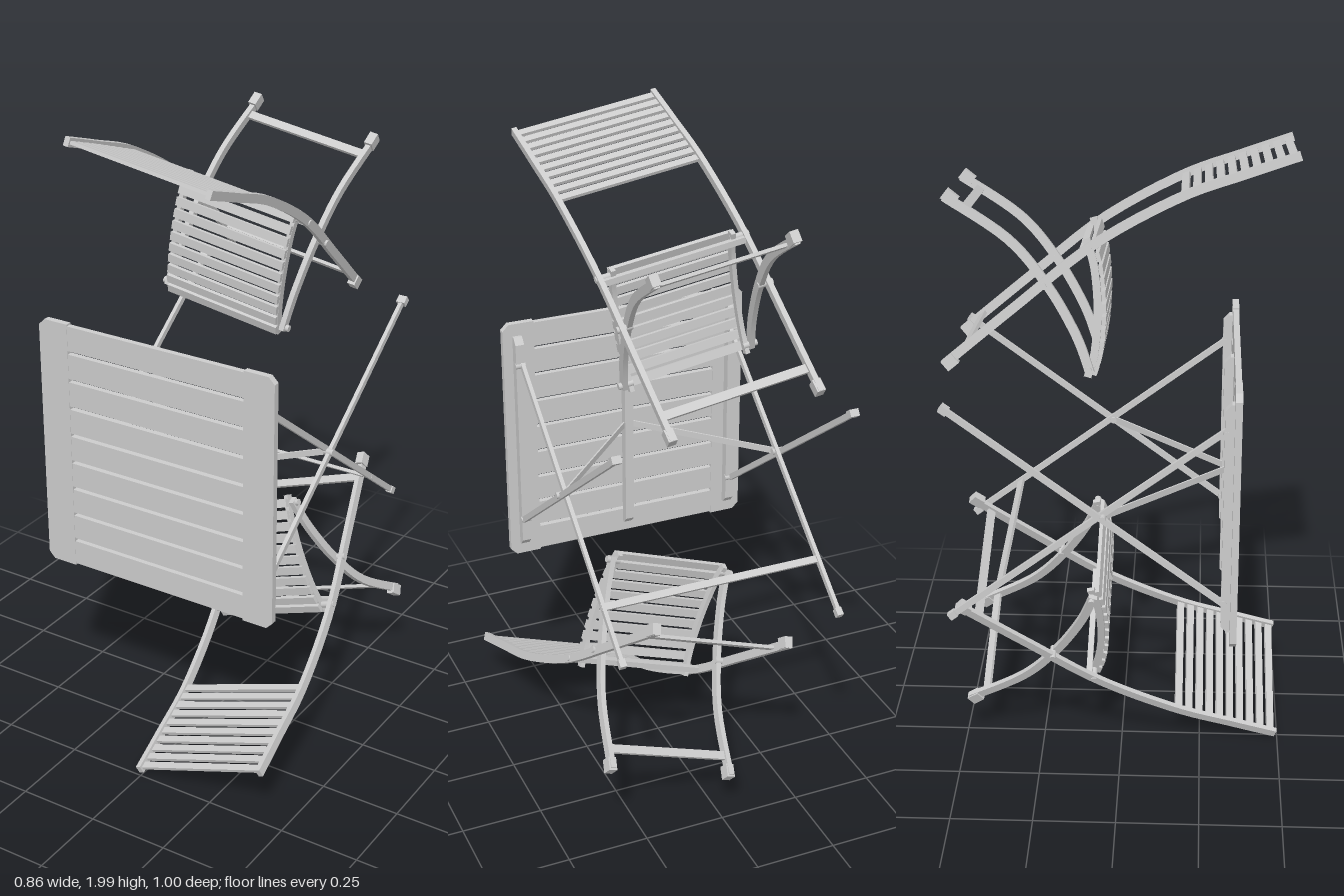
import * as THREE from 'three';
import { toCreasedNormals } from 'three/addons/utils/BufferGeometryUtils.js';

const material = new THREE.MeshStandardMaterial({ color: 0xcccccc, side: THREE.DoubleSide });

// Furniture axes: x across, y depth, z height.
function add(group, name, geometry) {
  const mesh = new THREE.Mesh(geometry, material);
  mesh.name = name;
  group.add(mesh);
  return mesh;
}

function box(group, name, size, pos, tilt = 0) {
  const mesh = add(group, name, new THREE.BoxGeometry(...size));
  mesh.position.set(...pos);
  mesh.rotation.x = tilt;
  return mesh;
}

function pin(group, name, x, y, z, length, radius = 0.01) {
  const mesh = add(group, name, new THREE.CylinderGeometry(radius, radius, length, 12));
  mesh.rotation.z = Math.PI / 2;
  mesh.position.set(x, y, z);
}

const curveOf = (pts) => new THREE.SplineCurve(pts.map((p) => new THREE.Vector2(...p)));

// A bent lath of constant width, following [y, z] points and centred on x
function lath(group, name, pts, width, thickness, x) {
  const curve = curveOf(pts);
  const n = pts.length > 2 ? 24 : 1;
  const a = [], b = [];
  for (let i = 0; i <= n; i++) {
    const p = curve.getPoint(i / n), t = curve.getTangent(i / n);
    const off = new THREE.Vector2(-t.y, t.x).multiplyScalar(width / 2);
    a.push(p.clone().add(off));
    b.unshift(p.clone().sub(off));
  }
  let g = new THREE.ExtrudeGeometry(new THREE.Shape([...a, ...b]), { depth: thickness, bevelEnabled: false });
  g.translate(0, 0, -thickness / 2);
  g.applyMatrix4(new THREE.Matrix4().makeBasis(
    new THREE.Vector3(0, 1, 0), new THREE.Vector3(0, 0, 1), new THREE.Vector3(1, 0, 0)));
  g = toCreasedNormals(g, 0.5);
  add(group, name, g).position.x = x;
}

// Evenly spaced cross slats lying along a [y, z] curve
function slats(group, name, pts, count, length, width, thickness) {
  const curve = curveOf(pts);
  for (let i = 0; i < count; i++) {
    const s = (i + 0.5) / count, p = curve.getPointAt(s), t = curve.getTangentAt(s);
    box(group, name, [length, width, thickness], [0, p.x, p.y], Math.atan2(t.y, t.x));
  }
}

function createChair() {
  const chair = new THREE.Group();
  const rail = [[-0.595, -0.49], [-0.42, -0.28], [-0.25, -0.07], [-0.118, 0.165], [-0.05, 0.35], [0, 0.494]];
  const leg = [[-0.125, -0.485], [-0.24, -0.31], [-0.37, -0.2], [-0.51, -0.12], [-0.62, -0.08]];
  const seat = [[-0.635, -0.07], [-0.56, -0.05], [-0.44, -0.042], [-0.32, -0.052], [-0.24, -0.075]];
  const back = [[-0.118, 0.165], [-0.05, 0.35], [0, 0.494]];

  for (const side of [-1, 1]) {
    lath(chair, 'backRail', rail, 0.026, 0.016, side * 0.226);
    lath(chair, 'frontLeg', leg, 0.026, 0.016, side * 0.204);
    lath(chair, 'seatSideRail', seat.map(([y, z]) => [y, z - 0.018]), 0.022, 0.014, side * 0.186);
    // Rubber feet
    lath(chair, 'railFoot', [[-0.6, -0.488], [-0.575, -0.458]], 0.034, 0.026, side * 0.226);
    lath(chair, 'legFoot', [[-0.115, -0.484], [-0.14, -0.452]], 0.034, 0.026, side * 0.204);
    // Pivots
    pin(chair, 'crossPivot', side * 0.217, -0.367, -0.21, 0.048);
    pin(chair, 'seatFrontPivot', side * 0.2, -0.61, -0.085, 0.045);
    pin(chair, 'seatBackPivot', side * 0.208, -0.262, -0.085, 0.06);
  }
  slats(chair, 'seatSlat', seat, 11, 0.385, 0.026, 0.012);
  slats(chair, 'backrestSlat', back, 10, 0.44, 0.023, 0.01);
  // Cross bars
  box(chair, 'railCrossBar', [0.44, 0.01, 0.026], [0, -0.545, -0.43], -0.7);
  box(chair, 'legCrossBar', [0.4, 0.01, 0.026], [0, -0.16, -0.43], 0.6);
  box(chair, 'seatCrossBar', [0.44, 0.018, 0.018], [0, -0.27, -0.1]);
  return chair;
}

function createTable() {
  const table = new THREE.Group();
  // Top: two end boards with clipped corners, slats between
  for (const side of [-1, 1]) {
    const s = new THREE.Shape([[0.3, -0.4], [0.38, -0.4], [0.4, -0.38], [0.4, 0.38], [0.38, 0.4], [0.3, 0.4]]
      .map(([x, y]) => new THREE.Vector2(x, y)));
    const board = add(table, 'endBoard', new THREE.ExtrudeGeometry(s, { depth: 0.02, bevelEnabled: false }));
    board.position.z = 0.329;
    if (side < 0) { board.rotation.z = Math.PI; }
  }
  const count = 9, pitch = 0.8 / count;
  for (let i = 0; i < count; i++) {
    box(table, 'topSlat', [0.6, pitch - 0.011, 0.018], [0, (i - (count - 1) / 2) * pitch, 0.339]);
  }
  // Battens under the top
  for (const x of [-0.355, 0, 0.355]) {
    const s = new THREE.Shape([[-0.36, 0.33], [-0.36, 0.32], [-0.34, 0.302], [0.34, 0.302], [0.36, 0.32], [0.36, 0.33]]
      .map(([y, z]) => new THREE.Vector2(y, z)));
    const g = new THREE.ExtrudeGeometry(s, { depth: 0.028, bevelEnabled: false });
    g.translate(0, 0, -0.014);
    g.applyMatrix4(new THREE.Matrix4().makeBasis(
      new THREE.Vector3(0, 1, 0), new THREE.Vector3(0, 0, 1), new THREE.Vector3(1, 0, 0)));
    add(table, 'batten', g).position.x = x;
  }
  for (const side of [-1, 1]) {
    // Crossed legs with feet and pivots
    lath(table, 'outerLeg', [[0.335, -0.49], [-0.27, 0.31]], 0.018, 0.012, side * 0.361);
    lath(table, 'innerLeg', [[-0.335, -0.49], [0.275, 0.31]], 0.018, 0.012, side * 0.348);
    lath(table, 'outerFoot', [[0.337, -0.492], [0.322, -0.472]], 0.022, 0.028, side * 0.361);
    lath(table, 'innerFoot', [[-0.337, -0.492], [-0.322, -0.472]], 0.022, 0.02, side * 0.348);
    pin(table, 'legPivot', side * 0.355, 0, -0.04, 0.04);
    for (const y of [-0.265, 0.27]) pin(table, 'topPivot', side * 0.355, y, 0.308, 0.032);
    // Folding brace from the leg crossing to the middle batten
    const from = new THREE.Vector2(side * 0.35, -0.04), to = new THREE.Vector2(side * 0.015, 0.31);
    const brace = box(table, 'brace', [from.distanceTo(to), 0.02, 0.005],
      [(from.x + to.x) / 2, 0, (from.y + to.y) / 2]);
    brace.rotation.y = -Math.atan2(to.y - from.y, to.x - from.x);
  }
  box(table, 'stretcher', [0.71, 0.01, 0.022], [0, -0.222, -0.34], -0.65);
  return table;
}

export function createModel() {
  const model = new THREE.Group();
  model.name = 'foldingFurnitureSet';

  const table = createTable();
  table.name = 'table';
  table.position.set(-0.03, 0.975, 0);

  const upperChair = createChair();
  upperChair.name = 'upperChair';
  upperChair.position.set(0.03, 1.952, 0);
  upperChair.rotation.z = THREE.MathUtils.degToRad(-8.4);

  const lowerChair = createChair();
  lowerChair.name = 'lowerChair';
  lowerChair.position.set(0.205, 0.1, 0);
  lowerChair.rotation.z = THREE.MathUtils.degToRad(200);

  model.add(table, upperChair, lowerChair);
  return model;
}
